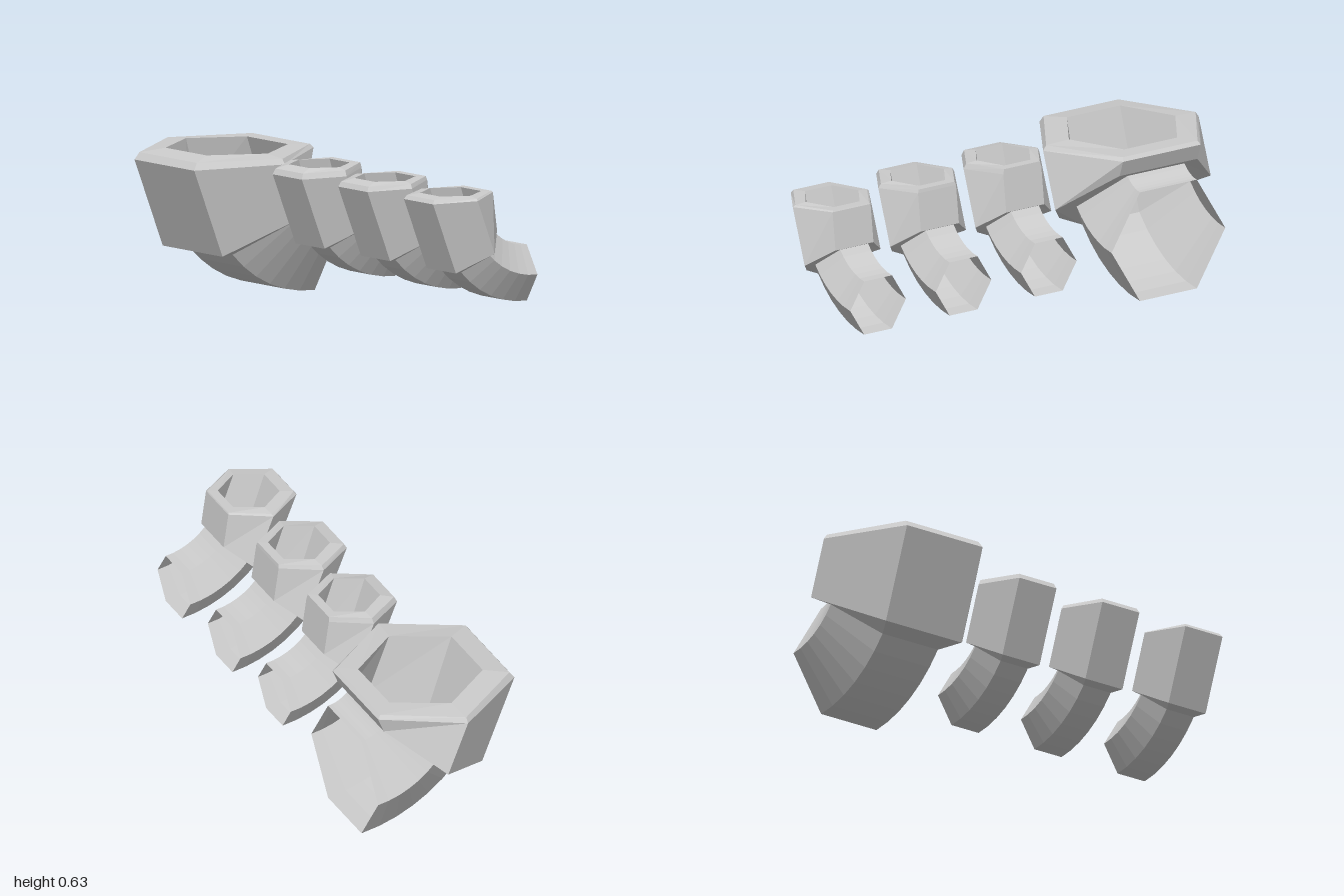
import * as THREE from 'three';

const material = new THREE.MeshStandardMaterial({ color: 0xcccccc, flatShading: true, side: THREE.DoubleSide });

// Six-sided ring: side corners at +-r, flats at front and back; each point is [z, y]
function hexRing(r, front, mid, back) {
  return [[r, mid], [r / 2, front], [-r / 2, front], [-r, mid], [-r / 2, back], [r / 2, back]]
    .map(([x, [z, y]]) => new THREE.Vector3(x, y, z));
}

// Skin a series of rings
function loft(name, rings) {
  const points = [];
  for (let k = 0; k < rings.length - 1; k++) {
    const a = rings[k], b = rings[k + 1];
    for (let i = 0; i < 6; i++) {
      const j = (i + 1) % 6;
      points.push(a[i], b[i], a[j], b[i], b[j], a[j]);
    }
  }
  const geometry = new THREE.BufferGeometry().setFromPoints(points);
  geometry.computeVertexNormals();
  const mesh = new THREE.Mesh(geometry, material);
  mesh.name = name;
  return mesh;
}

// Ring of the elbow, swung about a shared bend centre
const BEND = { z: -0.353, y: 0.62, radius: 0.375, angle: 0.82 };
function elbowRing(r, angle) {
  const h = r * Math.sqrt(3) / 2;
  const at = (d) => [BEND.z + d * Math.sin(angle), BEND.y - d * Math.cos(angle)];
  return hexRing(r, at(BEND.radius + h), at(BEND.radius), at(BEND.radius - h));
}

function makePipe(name, x, spec) {
  const pipe = new THREE.Group();
  pipe.name = name;
  const elbow = [];
  for (let i = 0; i <= 6; i++) elbow.push(elbowRing(spec.elbowRadius, BEND.angle * i / 6));
  const joint = elbow[6];
  const [shoulder, rim, bevel, mouth] = spec.rings.map((r) => hexRing(...r));
  pipe.add(
    loft('elbow', elbow),
    loft('shoulder', [joint, shoulder]),
    loft('socketWall', [shoulder, rim]),
    loft('rim', [rim, bevel, mouth]),
    loft('socketLining', [mouth, joint]),
  );
  pipe.position.x = x;
  return pipe;
}

export function createModel() {
  const model = new THREE.Group();
  model.name = 'pipeRow';

  // Wide pipe: shoulder, rim, bevel and mouth rings
  model.add(makePipe('widePipe', -0.617, {
    elbowRadius: 0.28,
    rings: [
      [0.383, [0.198, 0.207], [-0.075, 0.368], [-0.275, 0.545]],
      [0.383, [0.353, 0.587], [0.02, 0.602], [-0.302, 0.617]],
      [0.368, [0.333, 0.617], [0.02, 0.624], [-0.288, 0.632]],
      [0.262, [0.235, 0.632], [0.01, 0.632], [-0.213, 0.632]],
    ],
  }));

  // Three narrow pipes, each with a slightly lower rim
  [[-0.028, 0], [0.392, 0.006], [0.813, 0.016]].forEach(([x, drop], i) => {
    model.add(makePipe('narrowPipe' + (i + 1), x, {
      elbowRadius: 0.137,
      rings: [
        [0.187, [0.058, 0.287], [-0.075, 0.368], [-0.168, 0.447]],
        [0.187, [0.183, 0.592], [0.018, 0.6], [-0.145, 0.61]],
        [0.176, [0.172, 0.616 - drop / 2], [0.015, 0.624 - drop], [-0.142, 0.631 - drop]],
        [0.13, [0.118, 0.631 - drop], [0.008, 0.631 - drop], [-0.105, 0.631 - drop]],
      ],
    }));
  });
  return model;
}
